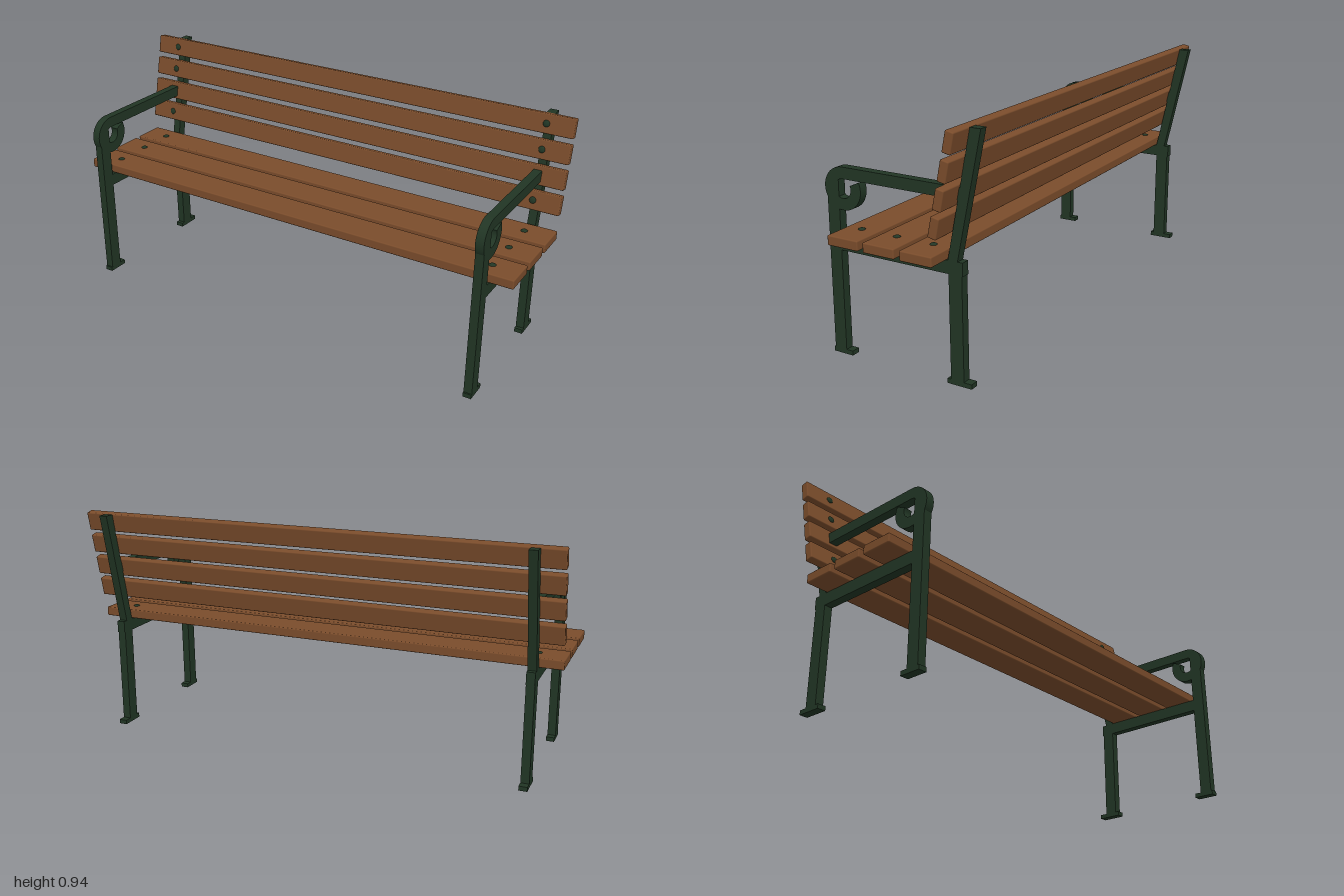
import * as THREE from 'three';
import { RoundedBoxGeometry } from 'three/addons/geometries/RoundedBoxGeometry.js';

const wood = new THREE.MeshStandardMaterial({ name: 'warm wood', color: 0x7a4c2b });
const iron = new THREE.MeshStandardMaterial({ name: 'dark green iron', color: 0x213524 });

const FRAME_X = 0.89;
const FRAME_W = 0.034;
const TILT = 0.21; // backward lean of the backrest

function add(parent, name, geometry, material) {
  const mesh = new THREE.Mesh(geometry, material);
  mesh.name = name;
  parent.add(mesh);
  return mesh;
}

// Extrudes a side profile, drawn as (z, y), across the frame's width
function sidePlate(shape) {
  const g = new THREE.ExtrudeGeometry(shape, { depth: FRAME_W, bevelEnabled: false, curveSegments: 28 });
  g.translate(0, 0, -FRAME_W / 2);
  g.rotateY(-Math.PI / 2);
  return g;
}

function polygon(points) {
  return new THREE.Shape(points.map(([z, y]) => new THREE.Vector2(z, y)));
}

// Armrest running forward into a curled scroll
function armrestShape() {
  const cz = 0.252, cy = 0.647, outer = 0.08, inner = 0.036;
  const end = -Math.PI * 204 / 180;
  const s = new THREE.Shape();
  s.moveTo(-0.245, cy + inner);
  s.lineTo(-0.252, cy + outer);
  s.lineTo(cz, cy + outer);
  s.absarc(cz, cy, outer, Math.PI / 2, end, true);
  s.absarc(cz, cy, inner, end, Math.PI / 2, false);
  s.closePath();
  return s;
}

function createFrame() {
  const frame = new THREE.Group();
  const parts = {
    frontLeg: [[0.328, 0], [0.322, 0.68], [0.27, 0.68], [0.276, 0]],
    backLeg: [[-0.193, 0], [-0.193, 0.414], [-0.247, 0.414], [-0.247, 0]],
    seatRail: [[0.28, 0.413], [0.28, 0.463], [-0.251, 0.463], [-0.251, 0.413]],
    backUpright: [[-0.191, 0.46], [-0.29, 0.935], [-0.332, 0.935], [-0.23, 0.46]],
    frontFoot: [[0.334, 0], [0.334, 0.018], [0.247, 0.018], [0.247, 0]],
    backFoot: [[-0.178, 0], [-0.178, 0.018], [-0.279, 0.018], [-0.279, 0]],
  };
  for (const [name, points] of Object.entries(parts)) {
    add(frame, name, sidePlate(polygon(points)), iron);
  }
  add(frame, 'armrest', sidePlate(armrestShape()), iron);
  return frame;
}

// A plank with a domed bolt over each frame; its face points along local +y
function createSlat(name, depth, thickness) {
  const slat = new THREE.Group();
  slat.name = name;
  add(slat, 'plank', new RoundedBoxGeometry(2, thickness, depth, 2, 0.005), wood);
  for (const side of [-1, 1]) {
    const dome = new THREE.SphereGeometry(0.014, 16, 6, 0, Math.PI * 2, 0, Math.PI / 2);
    dome.scale(1, 0.5, 1);
    const bolt = add(slat, 'bolt', dome, iron);
    bolt.position.set(side * FRAME_X, thickness / 2 - 0.001, 0);
  }
  return slat;
}

export function createModel() {
  const bench = new THREE.Group();
  bench.name = 'bench';

  // Iron end frames
  for (const side of [-1, 1]) {
    const frame = createFrame();
    frame.name = side > 0 ? 'leftFrame' : 'rightFrame';
    frame.position.x = side * FRAME_X;
    bench.add(frame);
  }

  // Seat slats
  for (let i = 0; i < 3; i++) {
    const slat = createSlat('seatSlat', 0.133, 0.038);
    slat.position.set(0, 0.483, 0.188 - i * 0.1555);
    bench.add(slat);
  }

  // Backrest slats, leaning with the uprights
  for (let i = 0; i < 4; i++) {
    const slat = createSlat('backSlat', 0.078, 0.034);
    slat.rotation.x = Math.PI / 2 - TILT;
    slat.position.set(0, 0.605 + i * 0.0987, -0.2 - i * 0.0217);
    bench.add(slat);
  }
  return bench;
}
